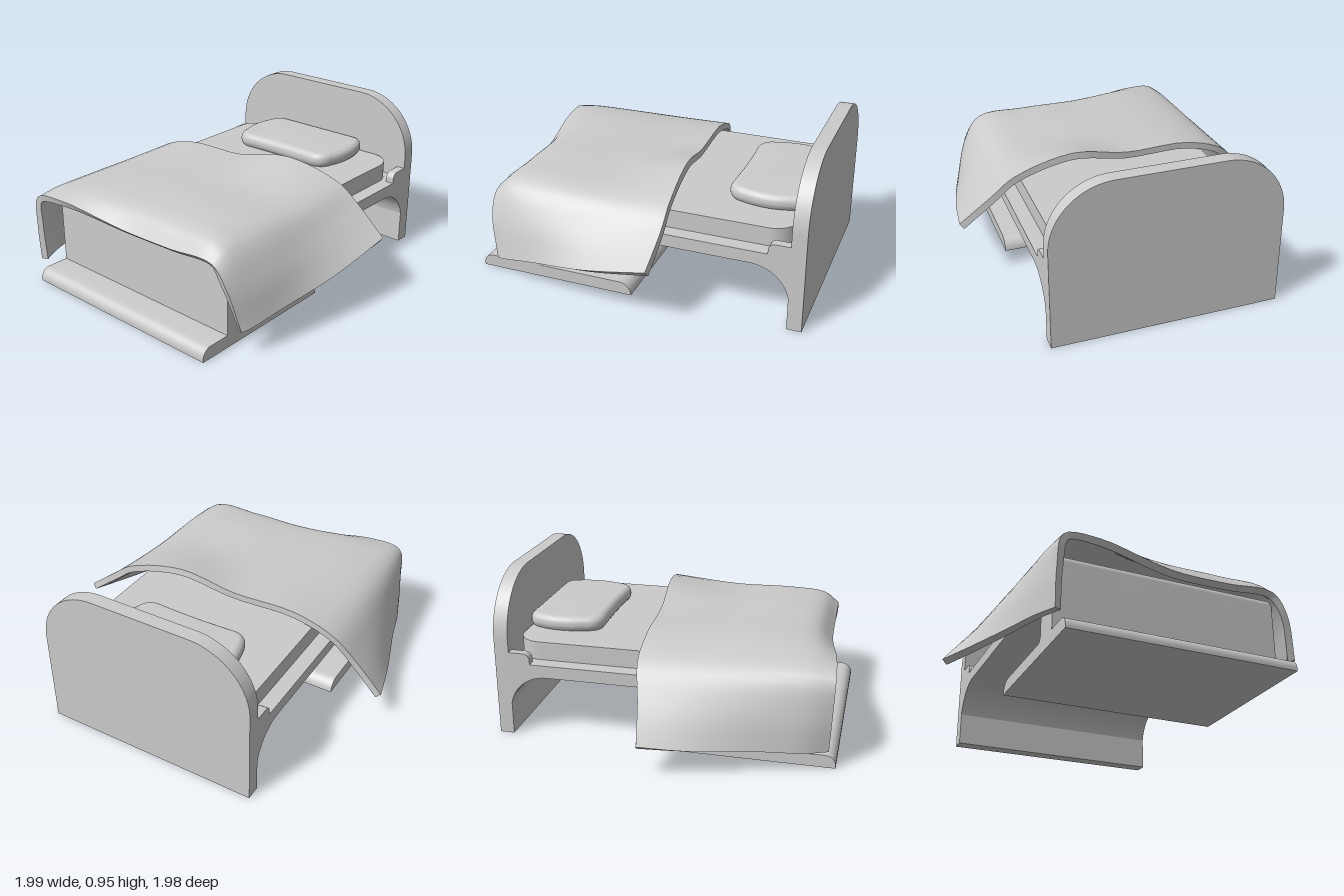
import * as THREE from 'three';
import { mergeGeometries, toCreasedNormals } from 'three/addons/utils/BufferGeometryUtils.js';

const LEFT = 0.685, RIGHT = -0.65, MID = (LEFT + RIGHT) / 2;
const material = new THREE.MeshStandardMaterial({ color: 0xcccccc });

function part(name, geometry, parent) {
  const mesh = new THREE.Mesh(geometry, material);
  mesh.name = name;
  parent.add(mesh);
  return mesh;
}

function extrude(shape, depth, options = {}) {
  const g = new THREE.ExtrudeGeometry(shape, { depth, bevelEnabled: false, curveSegments: 14, ...options });
  return toCreasedNormals(g, 0.6);
}

// Extrudes a side profile drawn in (z, y) between two x positions
function extrudeAcross(shape, x0, x1) {
  return extrude(shape, x1 - x0).rotateY(-Math.PI / 2).translate(x1, 0, 0);
}

// Platform, foot post and base plate as one side profile
function frameProfile(recessed) {
  const s = new THREE.Shape();
  s.moveTo(-0.91, 0.45);
  s.lineTo(-0.91, 0.15);
  s.absarc(-0.685, 0.15, 0.225, Math.PI, Math.PI / 2, true);
  if (recessed) {
    s.lineTo(-0.27, 0.375);
    s.lineTo(-0.27, 0.395);
    s.lineTo(0.15, 0.395);
    s.lineTo(0.15, 0.375);
  }
  s.absarc(0.53, 0.275, 0.1, Math.PI / 2, 0, true);
  s.absarc(0.59, 0.115, 0.04, 0, -Math.PI / 2, true);
  s.absarc(0.095, 0, 0.075, Math.PI / 2, Math.PI, false);
  s.lineTo(0.99, 0);
  s.absarc(0.93, 0.015, 0.06, 0, Math.PI / 2, false);
  s.lineTo(0.8, 0.075);
  s.absarc(0.76, 0.48, 0.04, 0, Math.PI / 2, false);
  s.lineTo(0.66, 0.52);
  s.lineTo(0.66, 0.45);
  s.closePath();
  return s;
}

function headboardGeometry() {
  const r = 0.36, h = 0.95;
  const s = new THREE.Shape();
  s.moveTo(RIGHT, 0);
  s.lineTo(LEFT, 0);
  s.absarc(LEFT - r, h - r, r, 0, Math.PI / 2, false);
  s.absarc(RIGHT + r, h - r, r, Math.PI / 2, Math.PI, false);
  s.closePath();
  return extrude(s, 0.085).translate(0, 0, -0.99);
}

function bracketProfile() {
  const s = new THREE.Shape();
  s.moveTo(-0.91, 0.445);
  s.lineTo(-0.78, 0.445);
  s.absarc(-0.82, 0.475, 0.04, 0, Math.PI / 2, false);
  s.lineTo(-0.91, 0.515);
  s.closePath();
  return s;
}

function mattressGeometry() {
  const x0 = -0.56, x1 = 0.6, head = 0.895, r = 0.14;
  const s = new THREE.Shape();
  s.moveTo(x0, -0.66);
  s.lineTo(x1, -0.66);
  s.absarc(x1 - r, head - r, r, 0, Math.PI / 2, false);
  s.absarc(x0 + r, head - r, r, Math.PI / 2, Math.PI, false);
  s.closePath();
  return extrude(s, 0.11).rotateX(-Math.PI / 2).translate(0, 0.45, 0);
}

// Barrel-sided outline with a round bevel
function pillowGeometry() {
  const s = new THREE.Shape();
  s.moveTo(-0.26, -0.19);
  s.quadraticCurveTo(0, -0.175, 0.26, -0.19);
  s.quadraticCurveTo(0.315, -0.19, 0.325, -0.13);
  s.quadraticCurveTo(0.375, 0.02, 0.325, 0.15);
  s.quadraticCurveTo(0.315, 0.19, 0.28, 0.19);
  s.lineTo(-0.28, 0.19);
  s.quadraticCurveTo(-0.315, 0.19, -0.325, 0.15);
  s.quadraticCurveTo(-0.375, 0.02, -0.325, -0.13);
  s.quadraticCurveTo(-0.315, -0.19, -0.26, -0.19);
  const g = extrude(s, 0.012, { bevelEnabled: true, bevelSize: 0.04, bevelThickness: 0.04, bevelSegments: 6 });
  return g.rotateX(-Math.PI / 2).translate(MID, 0.594, -0.675);
}

// Surface through a grid of points
function sheet(rows, flip = false) {
  const n = rows[0].length, index = [];
  for (let i = 0; i < rows.length - 1; i++) {
    for (let j = 0; j < n - 1; j++) {
      const a = i * n + j, b = a + n;
      if (flip) index.push(a, a + 1, b, a + 1, b + 1, b);
      else index.push(a, b, a + 1, a + 1, b, b + 1);
    }
  }
  const g = new THREE.BufferGeometry().setFromPoints(rows.flat());
  g.setIndex(index);
  g.computeVertexNormals();
  return g;
}

// Draped cover: smooth rows from head to foot, each running from right hem to left hem
function blanketGeometry() {
  const control = [
    [[-1, .19, -.05], [-.85, .38, -.08], [-.7, .55, -.12], [-.45, .635, -.13], [-.05, .645, -.15],
      [.3, .71, -.18], [.66, .63, -.21], [.8, .53, -.215], [.99, .38, -.2]],
    [[-.93, .16, .22], [-.83, .36, .2], [-.69, .55, .2], [-.45, .62, .2], [0, .635, .2],
      [.35, .635, .2], [.66, .6, .2], [.8, .46, .2], [.94, .28, .2]],
    [[-.81, .14, .6], [-.77, .36, .6], [-.68, .55, .6], [-.45, .62, .6], [0, .63, .6],
      [.35, .635, .6], [.66, .6, .6], [.8, .42, .58], [.87, .21, .57]],
    [[-.75, .125, .82], [-.73, .35, .84], [-.67, .55, .84], [-.45, .605, .83], [0, .6, .8],
      [.35, .6, .8], [.65, .585, .79], [.77, .4, .77], [.82, .16, .78]],
    [[-.69, .12, .95], [-.69, .35, .96], [-.66, .54, .965], [-.45, .57, .95], [0, .51, .895],
      [.35, .51, .885], [.65, .52, .88], [.74, .4, .87], [.8, .15, .82]],
  ].map((row) => row.map((p) => new THREE.Vector3(...p)));
  const nu = 24, nv = 40, thickness = 0.04;
  const along = control[0].map((_, j) => new THREE.CatmullRomCurve3(control.map((row) => row[j])));
  const top = [];
  for (let i = 0; i <= nu; i++) {
    const row = new THREE.CatmullRomCurve3(along.map((c) => c.getPoint(i / nu)));
    top.push(row.getPoints(nv));
  }
  const outer = sheet(top);
  const normal = outer.attributes.normal;
  const under = top.map((row, i) => row.map((p, j) => {
    const n = new THREE.Vector3().fromBufferAttribute(normal, i * (nv + 1) + j);
    return p.clone().addScaledVector(n, -thickness);
  }));
  // Hem strips closing the four edges
  const column = (rows, j) => rows.map((row) => row[j]);
  const hems = [
    sheet([top[0], under[0]], true),
    sheet([top[nu], under[nu]]),
    sheet([column(top, 0), column(under, 0)]),
    sheet([column(top, nv), column(under, nv)], true),
  ];
  return mergeGeometries([outer, sheet(under, true), ...hems]);
}

export function createModel() {
  const bed = new THREE.Group();
  bed.name = 'bed';

  // Frame, with a shallow recess under its middle
  const frame = new THREE.Group();
  frame.name = 'frame';
  bed.add(frame);
  part('frameRight', extrudeAcross(frameProfile(false), RIGHT, -0.28), frame);
  part('frameMiddle', extrudeAcross(frameProfile(true), -0.28, 0.32), frame);
  part('frameLeft', extrudeAcross(frameProfile(false), 0.32, LEFT), frame);
  part('headboard', headboardGeometry(), frame);
  part('bracketRight', extrudeAcross(bracketProfile(), RIGHT, RIGHT + 0.05), frame);
  part('bracketLeft', extrudeAcross(bracketProfile(), LEFT - 0.05, LEFT), frame);

  // Bedding
  part('mattress', mattressGeometry(), bed);
  part('pillow', pillowGeometry(), bed);
  const blanket = part('blanket', blanketGeometry(), bed);
  blanket.material = material.clone();
  blanket.material.side = THREE.DoubleSide;
  return bed;
}
